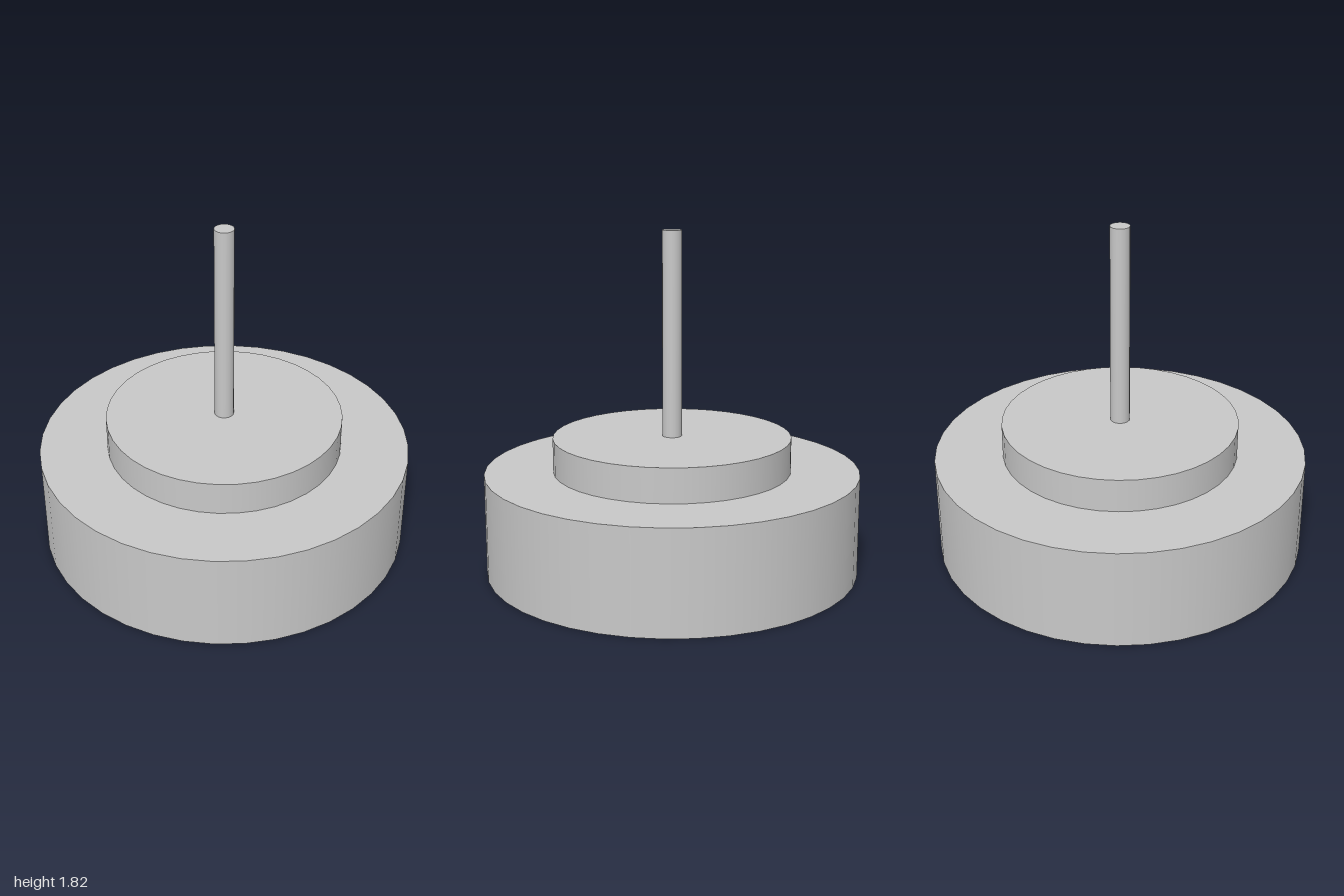
import * as THREE from 'three';

export function createModel() {
  const group = new THREE.Group();
  const grey = new THREE.MeshStandardMaterial({ color: 0xc8c8c8 });
  grey.name = 'grey';

  // Upright cylinder from y0 to y1
  const addDisc = (name, radius, y0, y1, sides) => {
    const mesh = new THREE.Mesh(new THREE.CylinderGeometry(radius, radius, y1 - y0, sides), grey);
    mesh.name = name;
    mesh.position.y = (y0 + y1) / 2;
    group.add(mesh);
  };

  addDisc('base', 1, 0, 0.545, 40);
  addDisc('upperStep', 0.635, 0.545, 0.727, 40);
  addDisc('rod', 0.052, 0.727, 1.818, 16);

  return group;
}
